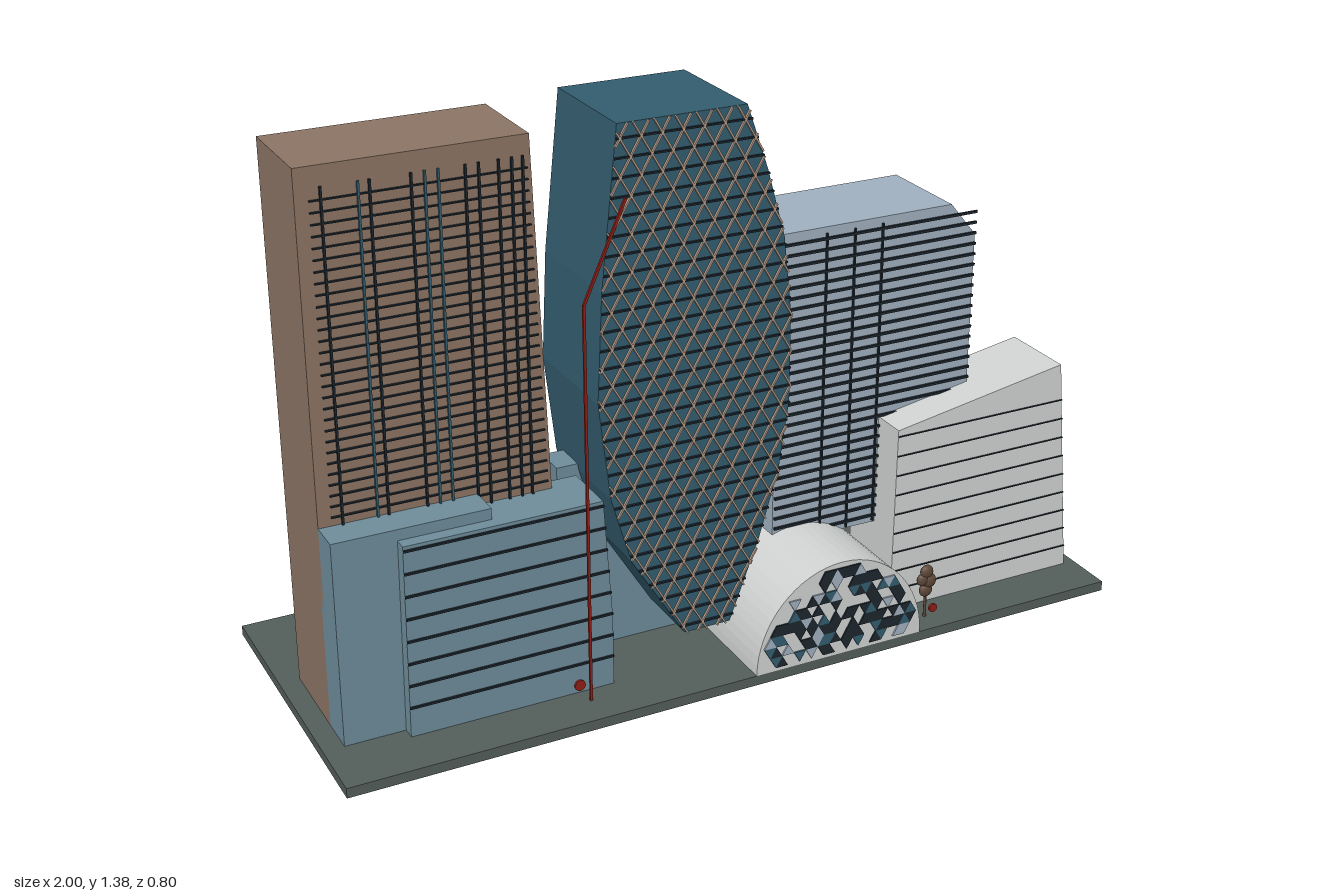
import * as THREE from 'three';
import { mergeGeometries } from 'three/addons/utils/BufferGeometryUtils.js';

const mat = (name, color) => {
  const m = new THREE.MeshStandardMaterial({ color });
  m.name = name;
  return m;
};

export function createModel() {
  const model = new THREE.Group();
  const M = {
    ground: mat('ground grey', 0x535d5a),
    brown: mat('stone brown', 0x8b7464),
    teal: mat('deep teal', 0x335c6e),
    blue: mat('podium blue', 0x6d8c99),
    pale: mat('pale blue', 0x9fb0bf),
    white: mat('off white', 0xcfd2d0),
    dark: mat('dark line', 0x1c252d),
    tan: mat('lattice tan', 0xb59c89),
    red: mat('signal red', 0x8f1f18),
    bark: mat('bark brown', 0x5d4738),
  };
  const add = (name, geo, material) => {
    const mesh = new THREE.Mesh(geo, material);
    mesh.name = name;
    model.add(mesh);
    return mesh;
  };

  // Outline in x, y pushed from z0 to z1
  const prism = (name, pts, z0, z1, material) => {
    const shape = new THREE.Shape(pts.map(([x, y]) => new THREE.Vector2(x, y)));
    const geo = new THREE.ExtrudeGeometry(shape, { depth: z1 - z0, bevelEnabled: false });
    geo.translate(0, 0, z0);
    return add(name, geo, material);
  };
  const rect = (x0, x1, y0, y1) => [[x0, y0], [x1, y0], [x1, y1], [x0, y1]];

  // Thin straight bar between two points of a facade
  const bar = (a, b, z, w, d = 0.006) => {
    const dx = b[0] - a[0], dy = b[1] - a[1];
    const geo = new THREE.BoxGeometry(Math.hypot(dx, dy), w, d);
    geo.rotateZ(Math.atan2(dy, dx));
    geo.translate((a[0] + b[0]) / 2, (a[1] + b[1]) / 2, z);
    return geo;
  };
  // Part of the line a-b inside a convex counter-clockwise outline
  const clip = (a, b, poly) => {
    let t0 = 0, t1 = 1;
    const dx = b[0] - a[0], dy = b[1] - a[1];
    for (let i = 0; i < poly.length; i++) {
      const p = poly[i], q = poly[(i + 1) % poly.length];
      const ex = q[0] - p[0], ey = q[1] - p[1];
      const side = ex * (a[1] - p[1]) - ey * (a[0] - p[0]);
      const rate = ex * dy - ey * dx;
      if (Math.abs(rate) < 1e-9) {
        if (side < 0) return null;
      } else if (rate > 0) t0 = Math.max(t0, -side / rate);
      else t1 = Math.min(t1, -side / rate);
    }
    const at = (t) => [a[0] + dx * t, a[1] + dy * t];
    return t1 - t0 > 1e-3 ? [at(t0), at(t1)] : null;
  };
  // Merge bars cut to an outline into one mesh
  const bars = (name, lines, poly, z, w, material) => {
    const geos = lines.map(([a, b]) => clip(a, b, poly)).filter(Boolean)
      .map(([a, b]) => bar(a, b, z, w));
    return add(name, mergeGeometries(geos), material);
  };
  const rows = (y0, y1, step) => {
    const out = [];
    for (let y = y0; y <= y1 + 1e-6; y += step) out.push([[-1, y], [1, y]]);
    return out;
  };
  const columns = (xs) => xs.map((x) => [[x, 0], [x, 2]]);

  // Ground slab
  prism('groundSlab', rect(-1, 1, 0, 0.025), -0.4, 0.372, M.ground);

  // Brown tower with its window grid
  prism('brownTower', [[-0.95, 0.025], [-0.54, 0.025], [-0.4, 0.48], [-0.432, 1.345], [-0.95, 1.345]],
    -0.105, 0.135, M.brown);
  const grid = [[-0.92, 0.5], [-0.41, 0.5], [-0.44, 1.3], [-0.92, 1.3]];
  bars('brownTowerFloors', rows(0.526, 1.28, 0.0257), grid, 0.139, 0.003, M.dark);
  bars('brownTowerMullions', columns([-0.895, -0.79, -0.70, -0.58, -0.55, -0.505, -0.475, -0.45]),
    grid, 0.14, 0.005, M.dark);
  bars('brownTowerBlueMullions', columns([-0.815, -0.67, -0.64]), grid, 0.14, 0.005, M.teal);

  // Blue podium blocks
  prism('leftPodium', rect(-0.95, -0.58, 0.025, 0.53), 0.12, 0.215, M.blue);
  prism('middlePodium', rect(-0.36, 0.22, 0.025, 0.515), -0.012, 0.07, M.blue);
  const front = [[-0.805, 0.025], [-0.305, 0.025], [-0.305, 0.2], [-0.325, 0.503], [-0.8, 0.503]];
  prism('frontPodium', front, 0.1, 0.247, M.blue);
  bars('frontPodiumFloors', rows(0.1, 0.495, 0.056), front, 0.249, 0.005, M.dark);

  // Teal faceted tower with triangular lattice
  const gem = [[-0.12, 0.11], [0, 0.11], [0.075, 0.31], [0.125, 0.48], [0.15, 0.65], [0.15, 0.87],
    [0.13, 1.055], [0.085, 1.22], [0.032, 1.375], [-0.28, 1.375], [-0.32, 1.0], [-0.333, 0.74],
    [-0.305, 0.5], [-0.255, 0.33]];
  prism('tealTower', gem, -0.055, 0.245, M.teal);
  const cell = 0.05, rise = cell * Math.sqrt(3) / 2, run = 1.4 / Math.sqrt(3);
  const diagonals = [];
  for (let x = -1.4; x < 1.4; x += cell) {
    diagonals.push([[x, 0], [x + run, 1.4]], [[x, 0], [x - run, 1.4]]);
  }
  bars('tealTowerDiagonals', diagonals, gem, 0.249, 0.004, M.tan);
  bars('tealTowerRows', rows(rise * 3, 1.37, rise), gem, 0.248, 0.004, M.dark);

  // Pale tower with cut corner and sun louvres
  prism('paleTower', [[0.16, 0.23], [0.7, 0.23], [0.7, 0.94], [0.63, 1.025], [0.16, 1.025]],
    -0.085, 0.16, M.pale);
  const louvres = rect(0.163, 0.7, 0.235, 1.01);
  bars('paleTowerLouvres', rows(0.25, 1.0, 0.0267), louvres, 0.164, 0.006, M.dark);
  bars('paleTowerMullions', columns([0.29, 0.365, 0.44]), louvres, 0.163, 0.004, M.dark);

  // White sloping block with fine floor lines
  const slope = [[0.445, 0.025], [0.97, 0.025], [0.915, 0.592], [0.45, 0.512]];
  prism('whiteBlock', slope, 0.052, 0.25, M.white);
  bars('whiteBlockFloors', rows(0.08, 0.52, 0.052), slope, 0.251, 0.002, M.dark);

  // Vaulted hall
  const cx = 0.23, rx = 0.225, ry = 0.247;
  const arch = [];
  for (let i = 0; i <= 32; i++) {
    const t = Math.PI * i / 32;
    arch.push([cx + rx * Math.cos(t), 0.025 + ry * Math.sin(t)]);
  }
  prism('vaultedHall', arch, 0.09, 0.372, M.white);

  // Scattered triangular panes on the vault front
  let seed = 7;
  const rnd = () => (seed = (seed * 16807) % 2147483647) / 2147483647;
  const panes = { dark: [], teal: [], pale: [] };
  const s = 0.032, h = s * 0.87;
  for (let r = 0; r < 9; r++) {
    for (let k = -16; k < 16; k++) {
      const up = (k + r) % 2 === 0;
      const x = cx + k * s / 2, y = 0.036 + r * h;
      const pick = rnd();
      const tri = up ? [[x - s / 2, y], [x + s / 2, y], [x, y + h]]
        : [[x - s / 2, y + h], [x, y], [x + s / 2, y + h]];
      const inside = tri.every(([px, py]) => ((px - cx) / rx) ** 2 + ((py - 0.025) / ry) ** 2 < 0.98);
      if (!inside || pick > 0.66) continue;
      const shape = new THREE.Shape(tri.map(([px, py]) => new THREE.Vector2(px, py)));
      const geo = new THREE.ExtrudeGeometry(shape, { depth: 0.004, bevelEnabled: false });
      geo.translate(0, 0, 0.373);
      panes[pick < 0.42 ? 'dark' : pick < 0.55 ? 'teal' : 'pale'].push(geo);
    }
  }
  for (const key in panes) {
    if (panes[key].length) add(`${key}VaultPanes`, mergeGeometries(panes[key]), M[key]);
  }

  // Bent red mast
  add('redMast', mergeGeometries([
    bar([-0.383, 0.025], [-0.383, 1.0], 0.29, 0.006),
    bar([-0.383, 1.0], [-0.282, 1.225], 0.29, 0.006),
  ]), M.red);

  // Small red discs
  for (const [x, y, r] of [[-0.458, 0.145, 0.013], [0.472, 0.1, 0.011]]) {
    const geo = new THREE.CylinderGeometry(r, r, 0.006, 20);
    geo.rotateX(Math.PI / 2);
    add('redDisc', geo, M.red).position.set(x, y, 0.397);
  }

  // Tree
  add('treeTrunk', new THREE.CylinderGeometry(0.003, 0.004, 0.09, 8), M.bark).position.set(0.506, 0.07, 0.313);
  for (const [x, y, r] of [[0.506, 0.098, 0.018], [0.514, 0.122, 0.02], [0.497, 0.128, 0.017], [0.507, 0.148, 0.018]]) {
    const leaf = add('treeCrown', new THREE.SphereGeometry(r, 12, 8), M.bark);
    leaf.position.set(x, y, 0.313);
    leaf.scale.z = 0.6;
  }
  return model;
}
